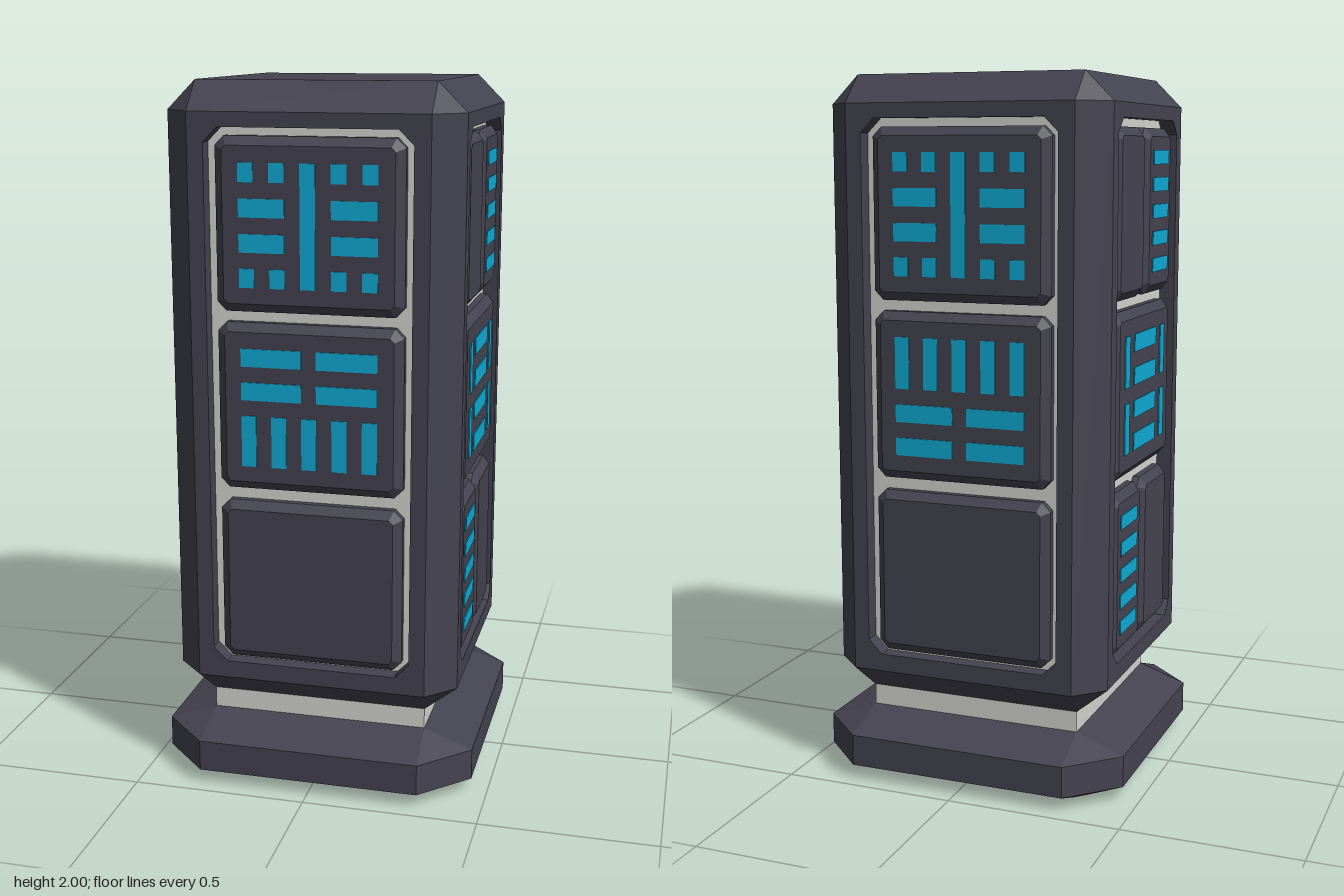
import * as THREE from 'three';
import { mergeGeometries } from 'three/addons/utils/BufferGeometryUtils.js';

const casing = new THREE.MeshStandardMaterial({ color: 0x444350, side: THREE.DoubleSide });
casing.name = 'dark casing';
const lining = new THREE.MeshStandardMaterial({ color: 0xd4d4d0 });
lining.name = 'pale lining';
const glow = new THREE.MeshStandardMaterial({ color: 0x0fabd4 });
glow.name = 'cyan light';

function add(parent, name, geometry, material) {
  const mesh = new THREE.Mesh(geometry, material);
  mesh.name = name;
  parent.add(mesh);
  return mesh;
}

// Flat-faced loft through square rings [half width, corner start, y];
// even segments are the sides, odd segments the cut corners.
function loft(rings, keep = () => true) {
  const points = rings.map(([h, c, y]) =>
    [[-c, h], [c, h], [h, c], [h, -c], [c, -h], [-c, -h], [-h, -c], [-h, c]]
      .map(([x, z]) => new THREE.Vector3(x, y, z)));
  const out = [];
  const tri = (a, b, c) => {
    if (new THREE.Triangle(a, b, c).getArea() > 1e-7) out.push(a, b, c);
  };
  for (let r = 0; r + 1 < rings.length; r++) {
    for (let i = 0; i < 8; i++) {
      if (!keep(i)) continue;
      const j = (i + 1) % 8, a = points[r], b = points[r + 1];
      tri(a[i], a[j], b[j]);
      tri(a[i], b[j], b[i]);
    }
  }
  const geometry = new THREE.BufferGeometry().setFromPoints(out);
  geometry.computeVertexNormals();
  return geometry;
}

// Rectangle outline with cut corners
function cutRect(x0, x1, y0, y1, k) {
  return [[x0 + k, y0], [x1 - k, y0], [x1, y0 + k], [x1, y1 - k],
    [x1 - k, y1], [x0 + k, y1], [x0, y1 - k], [x0, y0 + k]]
    .map(([x, y]) => new THREE.Vector2(x, y));
}

// Bevelled cover tile standing on the lining
function tile(x0, x1, y0, y1) {
  const geometry = new THREE.ExtrudeGeometry(new THREE.Shape(cutRect(x0, x1, y0, y1, 0.025)), {
    depth: 0.02, bevelThickness: 0.02, bevelSize: 0.024, bevelOffset: -0.024, bevelSegments: 1,
  });
  return geometry.translate(0, 0, 0.365);
}

// Thin light bar, given by centre and size
function bar(x, y, w, h) {
  return new THREE.BoxGeometry(w, h, 0.006).translate(x, y, 0.405);
}

const COLS = [-0.17, -0.085, 0, 0.085, 0.17];
const rowsAt = (mid) => [1.5, 0.5, -0.5, -1.5].map((k) => mid + k * 0.094);

// Light patterns
function crossPattern(mid) {
  const bars = [bar(0, mid, 0.042, 0.334)];
  rowsAt(mid).forEach((y, r) => {
    if (r === 0 || r === 3) COLS.forEach((x) => x && bars.push(bar(x, y, 0.042, 0.052)));
    else for (const s of [-1, 1]) bars.push(bar(s * 0.1275, y, 0.127, 0.05));
  });
  return bars;
}

function combPattern(mid, flip) {
  const bars = COLS.map((x) => bar(x, mid - flip * 0.094, 0.042, 0.144));
  for (const y of [0.047, 0.141]) {
    for (const s of [-1, 1]) bars.push(bar(s * 0.106, mid + flip * y, 0.17, 0.05));
  }
  return bars;
}

function blockPattern(mid) {
  const bars = rowsAt(mid).map((y) => bar(0, y, 0.212, 0.05));
  for (const x of [-0.17, 0.17]) {
    for (const s of [-1, 1]) bars.push(bar(x, mid + s * 0.094, 0.042, 0.144));
  }
  return bars;
}

const ladderPattern = (x, mid) =>
  [-2, -1, 0, 1, 2].map((k) => bar(x, mid + k * 0.0765, 0.154, 0.04));

// One side of the tower: frame, lining, tiles and lights
function buildSide(name, kind) {
  const side = new THREE.Group();
  side.name = name;

  const outline = new THREE.Shape(cutRect(-0.33, 0.33, 0.32, 1.92, 0));
  outline.holes.push(new THREE.Path(cutRect(-0.285, 0.285, 0.37, 1.88, 0.04)));
  const frame = new THREE.ExtrudeGeometry(outline, { depth: 0.07, bevelEnabled: false });
  add(side, 'frame', frame.translate(0, 0, 0.34), casing);
  add(side, 'liningPanel', new THREE.BoxGeometry(0.58, 1.53, 0.024).translate(0, 1.125, 0.353), lining);

  const mids = [1.622, 1.122, 0.616];
  mids.forEach((mid, row) => {
    const y0 = mid - 0.235, y1 = mid + 0.235;
    if (kind === 'split' && row !== 1) {
      add(side, 'halfTile', tile(-0.26, -0.006, y0, y1), casing);
      add(side, 'halfTile', tile(0.006, 0.26, y0, y1), casing);
    } else {
      add(side, 'tile', tile(-0.26, 0.26, y0, y1), casing);
    }
  });

  const bars = kind === 'split'
    ? [...ladderPattern(0.135, mids[0]), ...blockPattern(mids[1]), ...ladderPattern(-0.135, mids[2])]
    : [...crossPattern(mids[0]), ...combPattern(mids[1], kind === 'full' ? 1 : -1)];
  add(side, 'lightBars', mergeGeometries(bars), glow);
  return side;
}

export function createModel() {
  const model = new THREE.Group();
  model.name = 'lightTower';

  // Hollow foot and neck
  add(model, 'foot', loft([
    [0.315, 0.315, 0.18], [0.32, 0.32, 0], [0.35, 0.32, 0],
    [0.455, 0.32, 0.04], [0.455, 0.32, 0.13], [0.315, 0.315, 0.18],
  ]), casing);
  add(model, 'neck', loft([
    [0.295, 0.295, 0.25], [0.295, 0.295, 0.165], [0.314, 0.314, 0.165],
    [0.314, 0.314, 0.25], [0.295, 0.295, 0.25],
  ]), lining);

  // Bevelled ends and cut corners of the tower
  add(model, 'lowerBevel', loft([[0.315, 0.315, 0.24], [0.41, 0.33, 0.32]]), casing);
  add(model, 'cornerPosts', loft([[0.41, 0.33, 0.32], [0.41, 0.33, 1.92]], (i) => i % 2 === 1), casing);
  add(model, 'cap', loft([[0.41, 0.33, 1.92], [0.33, 0.33, 2], [0, 0, 2]]), casing);

  // Four sides
  [['frontSide', 'full'], ['leftSide', 'split'], ['backSide', 'flipped'], ['rightSide', 'split']]
    .forEach(([name, kind], i) => {
      const side = buildSide(name, kind);
      side.rotation.y = i * Math.PI / 2;
      model.add(side);
    });
  return model;
}
